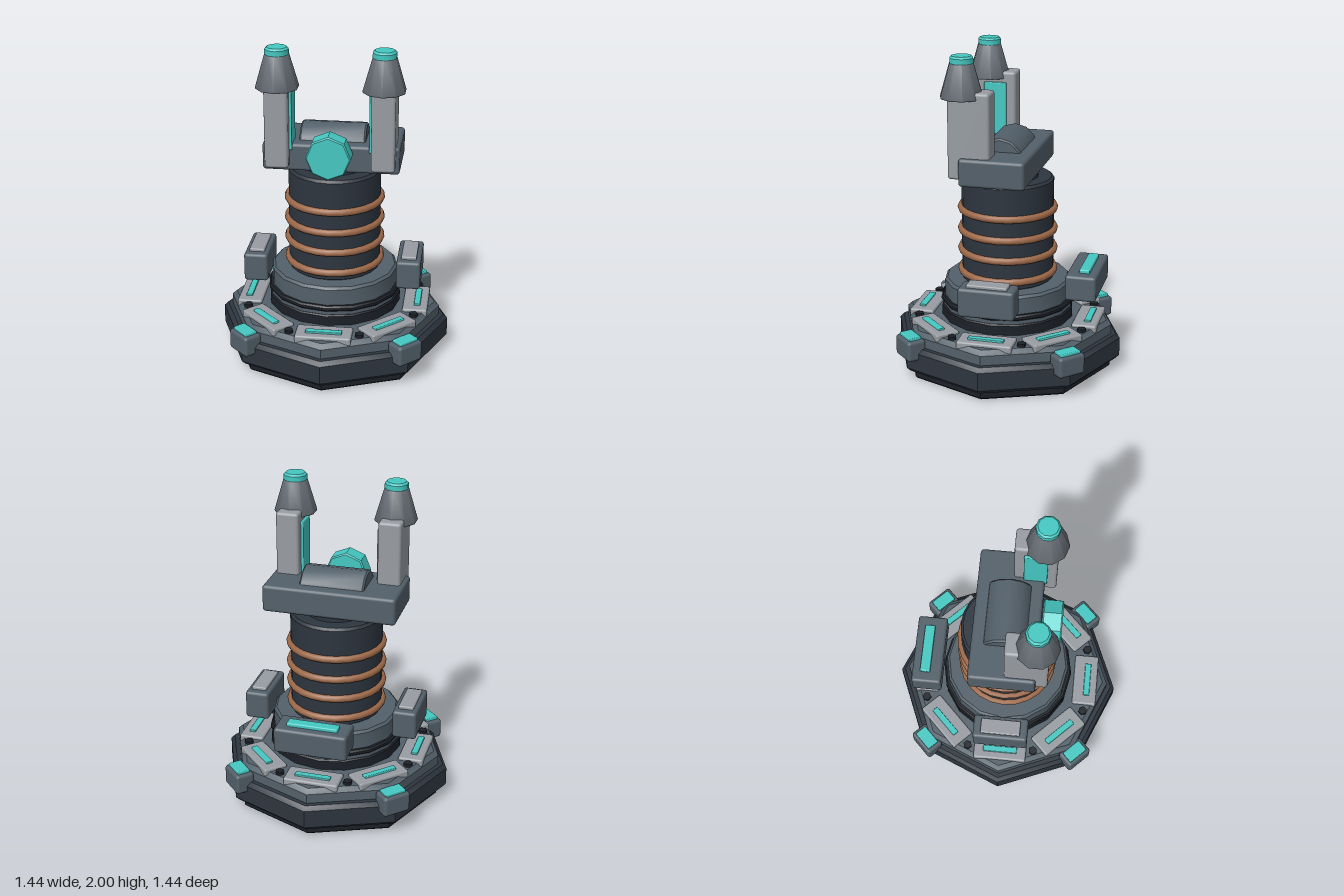
import * as THREE from 'three';
import { toCreasedNormals } from 'three/addons/utils/BufferGeometryUtils.js';
import { RoundedBoxGeometry } from 'three/addons/geometries/RoundedBoxGeometry.js';

const mat = (color) => new THREE.MeshStandardMaterial({ color });

export function createModel() {
  const model = new THREE.Group();
  const black = mat(0x1c2128), dark = mat(0x2d353f), slate = mat(0x53606a);
  const steel = mat(0x666d74), light = mat(0x989da3), teal = mat(0x45c8c2), copper = mat(0x9c6848);

  function add(name, geometry, material, x = 0, y = 0, z = 0, parent = model) {
    const mesh = new THREE.Mesh(geometry, material);
    mesh.name = name;
    mesh.position.set(x, y, z);
    parent.add(mesh);
    return mesh;
  }
  // Turned part: closed profile of [radius, y] from bottom to top
  function turned(profile, sides) {
    const pts = profile.map(([r, y]) => new THREE.Vector2(r, y));
    return toCreasedNormals(new THREE.LatheGeometry(pts, sides), 0.7);
  }
  // Drum with bevelled rims
  function drum(r, y0, y1, b, sides) {
    return turned([[0, y0], [r - b, y0], [r, y0 + b], [r, y1 - b], [r - b, y1], [0, y1]], sides);
  }
  const box = (w, h, d, r = 0.015) => new RoundedBoxGeometry(w, h, d, 2, r);

  // Octagonal base
  add('baseFoot', drum(0.66, 0, 0.1, 0.012, 8), black);
  add('baseDrum', drum(0.72, 0.06, 0.225, 0.025, 8), dark);
  add('baseDeck', turned([[0, 0.2], [0.665, 0.2], [0.665, 0.285], [0.635, 0.312], [0.4, 0.318], [0, 0.318]], 8), slate);

  // Lit pads and bolts around the deck
  for (let i = 0; i < 8; i++) {
    const sector = new THREE.Group();
    sector.name = 'deckSector';
    sector.rotation.y = (i * Math.PI) / 4;
    model.add(sector);
    add('pad', box(0.34, 0.05, 0.155, 0.012), light, 0, 0.308, 0.52, sector);
    add('padLight', box(0.22, 0.02, 0.04, 0.005), teal, 0, 0.335, 0.532, sector);
    const a = Math.PI / 8;
    add('bolt', new THREE.CylinderGeometry(0.028, 0.028, 0.03, 6), black,
      Math.sin(a) * 0.56, 0.317, Math.cos(a) * 0.56, sector);
  }

  // Corner clamps on the diagonals
  for (let i = 0; i < 4; i++) {
    const clamp = new THREE.Group();
    clamp.name = 'cornerClamp';
    clamp.rotation.y = Math.PI / 4 + (i * Math.PI) / 2;
    model.add(clamp);
    add('clampBlock', box(0.18, 0.13, 0.12, 0.02), slate, 0, 0.22, 0.69, clamp);
    add('clampLight', box(0.135, 0.025, 0.08, 0.006), teal, 0, 0.289, 0.69, clamp);
  }

  // Stepped collar
  add('collarBase', drum(0.415, 0.3, 0.385, 0.008, 16), black);
  add('collarBand', drum(0.405, 0.37, 0.42, 0.005, 16), slate);
  add('collarRing', drum(0.42, 0.41, 0.445, 0.01, 16), black);
  add('collar', drum(0.395, 0.43, 0.56, 0.015, 16), slate);

  // Column wound with copper coils
  add('column', drum(0.285, 0.55, 1.21, 0.015, 24), dark);
  for (const y of [0.61, 0.745, 0.875, 1.01]) {
    add('coil', new THREE.TorusGeometry(0.288, 0.023, 8, 24), copper, 0, y).rotation.x = Math.PI / 2;
  }
  add('neck', drum(0.19, 1.2, 1.25, 0.005, 16), dark);

  // Side and rear modules
  for (const s of [-1, 1]) {
    add('sideModule', box(0.15, 0.18, 0.345, 0.018), slate, s * 0.475, 0.562, 0);
    add('sidePlate', box(0.095, 0.03, 0.25, 0.008), light, s * 0.475, 0.656, 0);
  }
  add('rearModule', box(0.45, 0.16, 0.19, 0.018), slate, 0, 0.588, -0.505);
  add('rearLight', box(0.315, 0.03, 0.065, 0.008), teal, 0, 0.675, -0.517);

  // Head: crossbeam, roller and front lens
  add('crossbeam', box(0.825, 0.17, 0.4, 0.02), slate, 0, 1.32, 0);
  add('roller', drum(0.14, -0.2, 0.2, 0.01, 12), slate, 0, 1.348, 0).rotation.z = Math.PI / 2;
  add('lens', drum(0.135, 0, 0.12, 0.008, 8), teal, 0, 1.365, 0.205).rotation.x = Math.PI / 2;

  // Pair of prongs with capped emitters
  for (const s of [-1, 1]) {
    add('prong', box(0.142, 0.525, 0.255, 0.018), light, s * 0.317, 1.533, 0.142);
    add('prongPanel', box(0.03, 0.36, 0.14, 0.006), teal, s * 0.245, 1.55, 0.142);
    add('emitterCone', turned([[0, 1.752], [0.128, 1.752], [0.131, 1.76], [0.074, 1.955], [0.068, 1.96], [0, 1.96]], 10),
      steel, s * 0.315, 0, 0.197);
    add('emitterCap', drum(0.072, 1.945, 2, 0.012, 10), teal, s * 0.315, 0, 0.197);
  }
  return model;
}
